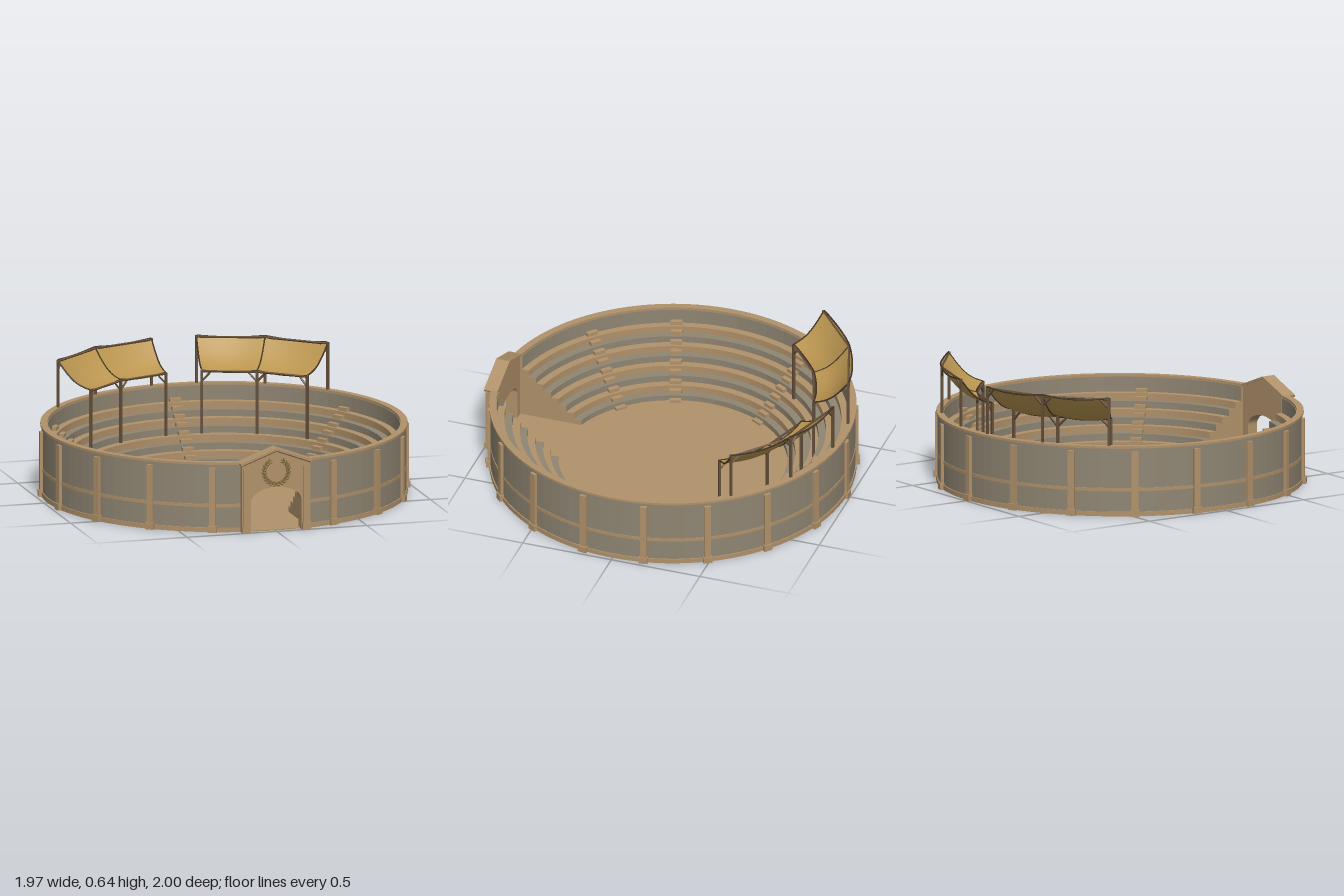
import * as THREE from 'three';

const mat = (name, color, side = THREE.FrontSide) => {
  const m = new THREE.MeshStandardMaterial({ color, side });
  m.name = name;
  return m;
};

export function createModel() {
  const sand = mat('sandstone', 0xb0916a);
  const grey = mat('grey stone', 0x8f8572);
  const wood = mat('dark wood', 0x65503a);
  const cloth = mat('awning cloth', 0xbb9650, THREE.DoubleSide);
  const rope = mat('awning edge', 0x453524);
  const laurel = mat('laurel', 0x86703f);

  const model = new THREE.Group();
  model.name = 'amphitheatre';
  const group = (name, parent = model) => {
    const g = new THREE.Group();
    g.name = name;
    parent.add(g);
    return g;
  };
  const add = (name, geo, material, parent = model) => {
    const m = new THREE.Mesh(geo, material);
    m.name = name;
    parent.add(m);
    return m;
  };
  const box = (name, w, h, d, x, y, z, material, parent) => {
    const m = add(name, new THREE.BoxGeometry(w, h, d), material, parent);
    m.position.set(x, y, z);
    return m;
  };
  // Point at an angle (radians) measured from the back towards +x
  const polar = (a, r, y) => new THREE.Vector3(r * Math.sin(a), y, -r * Math.cos(a));
  const polarBox = (name, w, h, d, a, r, y, material, parent) => {
    const p = polar(a, r, y);
    const m = box(name, w, h, d, p.x, p.y, p.z, material, parent);
    m.rotation.y = Math.PI - a;
    return m;
  };
  const rod = (name, a, b, t, material, parent) => {
    const dir = b.clone().sub(a);
    const m = add(name, new THREE.BoxGeometry(t, dir.length(), t), material, parent);
    m.position.copy(a).add(b).multiplyScalar(0.5);
    m.quaternion.setFromUnitVectors(new THREE.Vector3(0, 1, 0), dir.normalize());
    return m;
  };

  // Ring of stone, cut straight at the entrance passage
  const GAP = 0.19;
  const ring = (name, r0, r1, y0, y1, material, parent) => {
    const g0 = Math.asin(GAP / r0), g1 = Math.asin(GAP / r1);
    const s = new THREE.Shape();
    s.absarc(0, 0, r1, -Math.PI / 2 + g1, Math.PI * 1.5 - g1, false);
    s.absarc(0, 0, r0, Math.PI * 1.5 - g0, -Math.PI / 2 + g0, true);
    s.closePath();
    const geo = new THREE.ExtrudeGeometry(s, { depth: y1 - y0, bevelEnabled: false, curveSegments: 48 });
    geo.rotateX(-Math.PI / 2).translate(0, y0, 0);
    return add(name, geo, material, parent);
  };

  // Arena floor
  const floor = add('arenaFloor', new THREE.CylinderGeometry(0.974, 0.974, 0.006, 96), sand);
  floor.position.y = 0.003;

  // Outer wall with plinth, stripe and coping
  const wall = group('outerWall');
  ring('wall', 0.938, 0.974, 0, 0.368, grey, wall);
  ring('plinth', 0.96, 0.98, 0, 0.025, sand, wall);
  ring('stripe', 0.97, 0.977, 0.136, 0.154, sand, wall);
  ring('coping', 0.942, 0.98, 0.368, 0.38, sand, wall);

  // Seating tiers in alternating stone, faced where the passage cuts them
  const TIERS = 8, R0 = 0.612, RUN = 0.041, RISE = 0.036;
  const seats = group('seating');
  const cutZ = r => Math.sqrt(r * r - GAP * GAP);
  for (let i = 0; i < TIERS; i++) {
    const r = R0 + i * RUN, h = RISE * (i + 1);
    ring('tier', r, r + RUN, 0.002, h, i % 2 ? sand : grey, seats);
    const z0 = cutZ(r), z1 = cutZ(r + RUN);
    for (const s of [-1, 1])
      box('passageFacing', 0.006, h - 0.001, z1 - z0, s * (GAP - 0.001), h / 2, (z0 + z1) / 2, sand, seats);
  }
  for (const s of [-1, 1]) box('passageFacing', 0.006, 0.368, 0.03, s * (GAP - 0.001), 0.184, 0.93, sand, seats);

  // Aisle steps between the tiers
  const aisles = group('aisles');
  for (const deg of [0, 60, 132, -60, -108, -137])
    for (let i = 0; i <= TIERS; i++)
      polarBox('aisleStep', 0.062, RISE * 0.55, 0.028, THREE.MathUtils.degToRad(deg),
        R0 + i * RUN - 0.013, RISE * (i + 0.275), sand, aisles);

  // Pilasters every 20 degrees, leaving the front for the gate
  const pilasters = group('pilasters');
  for (let i = -8; i <= 8; i++) {
    const a = i * Math.PI / 9;
    polarBox('pilasterShaft', 0.036, 0.352, 0.03, a, 0.975, 0.176, sand, pilasters);
    polarBox('pilasterBase', 0.048, 0.035, 0.04, a, 0.978, 0.0175, sand, pilasters);
  }

  // Gatehouse with a low arch and a gable
  const gate = group('gatehouse');
  const face = new THREE.Shape();
  face.moveTo(-0.19, 0);
  face.lineTo(-0.14, 0);
  face.lineTo(-0.14, 0.165);
  face.absellipse(0, 0.165, 0.14, 0.075, Math.PI, 0, true);
  face.lineTo(0.14, 0);
  face.lineTo(0.19, 0);
  face.lineTo(0.19, 0.37);
  face.lineTo(0, 0.442);
  face.lineTo(-0.19, 0.37);
  face.closePath();
  const faceGeo = new THREE.ExtrudeGeometry(face, { depth: 0.058, bevelEnabled: false, curveSegments: 12 });
  add('gateWall', faceGeo.translate(0, 0, 0.927), sand, gate);
  for (const s of [-1, 1]) {
    box('gatePillar', 0.034, 0.35, 0.012, s * 0.168, 0.175, 0.988, sand, gate);
    box('gatePillarBase', 0.046, 0.035, 0.022, s * 0.168, 0.0175, 0.988, sand, gate);
    const slope = box('gableRoof', 0.214, 0.012, 0.076, s * 0.098, 0.41, 0.96, sand, gate);
    slope.rotation.z = -s * 0.36;
    const trim = box('gableTrim', 0.2, 0.006, 0.009, s * 0.096, 0.401, 0.988, wood, gate);
    trim.rotation.z = -s * 0.36;
  }

  // Laurel wreath, open at the top
  const wreath = group('wreath', gate);
  wreath.position.set(0, 0.325, 0.987);
  const stem = add('wreathStem', new THREE.TorusGeometry(0.068, 0.003, 5, 32, Math.PI * 1.76), laurel, wreath);
  stem.rotation.z = Math.PI * 0.62;
  for (const s of [-1, 1])
    for (let i = 0; i < 10; i++) {
      const a = 0.12 + i * 0.27;
      for (const k of [-1, 1]) {
        const leaf = add('wreathLeaf', new THREE.SphereGeometry(1, 6, 4), laurel, wreath);
        const r = 0.068 + k * 0.008;
        leaf.scale.set(0.012, 0.0045, 0.003);
        leaf.position.set(s * r * Math.sin(a), -r * Math.cos(a), 0.002);
        leaf.rotation.z = s > 0 ? a - k * 0.5 : Math.PI - a + k * 0.5;
      }
    }

  // Awnings: sagging cloth in two bays each side of the rear aisle
  const awning = side => {
    const g = group(side > 0 ? 'leftAwning' : 'rightAwning');
    const angle = u => side * THREE.MathUtils.degToRad(7.5 + 44.3 * u);
    const point = (u, v) => polar(angle(u), 0.957 - 0.192 * v,
      0.638 - 0.148 * v - 0.034 * Math.sin(Math.PI * v) - 0.013 * Math.abs(Math.sin(2 * Math.PI * u)));
    const geo = new THREE.PlaneGeometry(1, 1, 24, 10);
    const pos = geo.attributes.position;
    for (let i = 0; i < pos.count; i++) {
      const p = point(pos.getX(i) + 0.5, pos.getY(i) + 0.5);
      pos.setXYZ(i, p.x, p.y, p.z);
    }
    if (side > 0) geo.index.array.reverse();
    geo.computeVertexNormals();
    add('cloth', geo, cloth, g);

    // Hems along the edges and over the middle seam
    const hem = (f, n) => {
      const pts = Array.from({ length: n + 1 }, (_, i) => f(i / n));
      add('hem', new THREE.TubeGeometry(new THREE.CatmullRomCurve3(pts), n * 2, 0.0045, 5), rope, g);
    };
    for (const v of [0, 1]) hem(t => point(t, v), 16);
    for (const u of [0, 0.5, 1]) hem(t => point(u, t), 8);

    // Posts, with braces on the inner row
    for (const u of [0, 0.5, 1]) {
      const a = angle(u);
      polarBox('outerPost', 0.013, 0.35, 0.013, a, 0.953, 0.463, wood, g);
      polarBox('innerPost', 0.013, 0.348, 0.013, a, 0.765, 0.316, wood, g);
      for (const s of [-1, 1]) {
        const inside = u + s * side * 0.08;
        if (inside < 0 || inside > 1) continue;
        rod('brace', polar(a, 0.765, 0.43), polar(a + s * 0.065, 0.765, 0.483), 0.009, wood, g);
        rod('brace', polar(a, 0.953, 0.58), polar(a + s * 0.05, 0.953, 0.628), 0.009, wood, g);
      }
    }
    // Straight beams under the inner and outer edges
    for (const [r, y] of [[0.765, 0.484], [0.955, 0.63]])
      for (const u of [0, 0.5])
        rod('beam', polar(angle(u), r, y), polar(angle(u + 0.5), r, y), 0.009, wood, g);
  };
  awning(1);
  awning(-1);

  return model;
}
